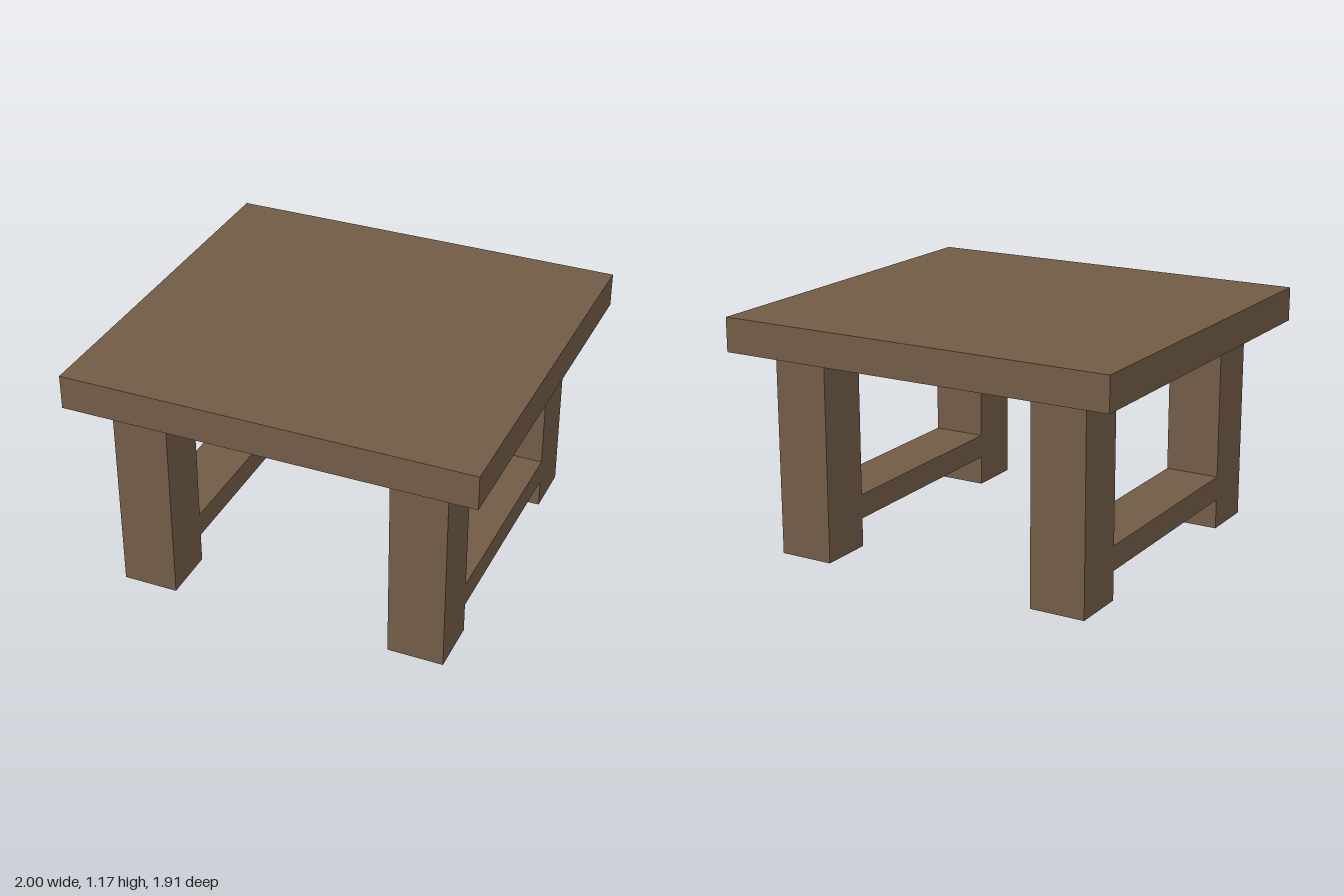
import * as THREE from 'three';

export function createModel() {
  const table = new THREE.Group();
  table.name = 'table';
  const wood = new THREE.MeshStandardMaterial({ color: 0x715b46 });
  wood.name = 'brown wood';

  const addBox = (name, size, position) => {
    const mesh = new THREE.Mesh(new THREE.BoxGeometry(...size), wood);
    mesh.name = name;
    mesh.position.set(...position);
    table.add(mesh);
    return mesh;
  };

  // Thick slab top
  addBox('tableTop', [2, 0.167, 1.908], [0, 1.0865, 0]);

  for (const [side, sx] of [['Left', 1], ['Right', -1]]) {
    // Square legs at the corners
    for (const [end, sz] of [['front', 1], ['back', -1]]) {
      addBox(`${end}${side}Leg`, [0.273, 1.003, 0.273], [sx * 0.6845, 0.5015, sz * 0.6845]);
    }
    // Side stretcher between front and back legs, with a very slight tilt
    const stretcher = addBox(`stretcher${side}`, [0.273, 0.121, 1.098], [sx * 0.6845, 0.206, 0]);
    stretcher.rotation.x = -0.006;
  }
  return table;
}
